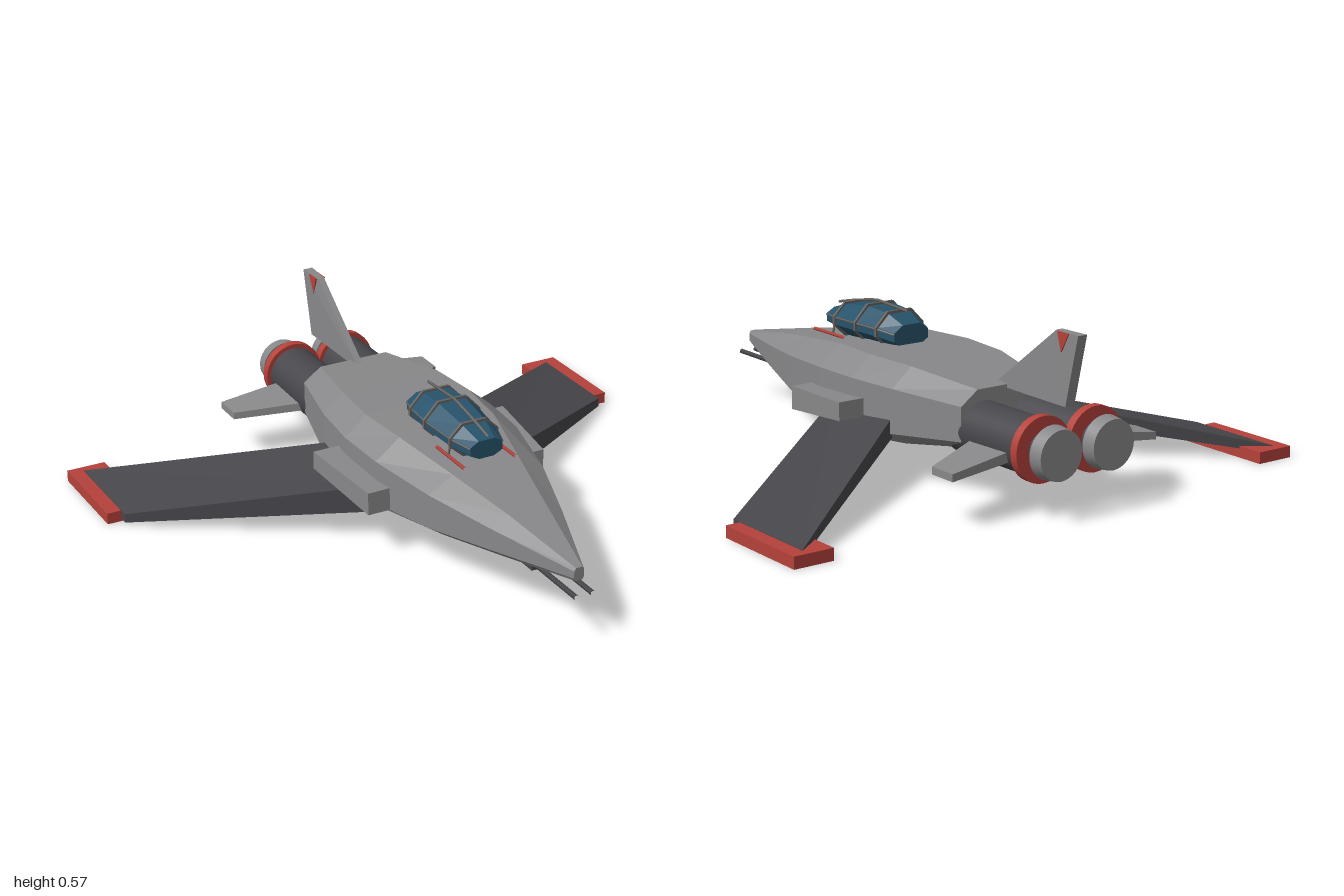
import * as THREE from 'three';

const paint = (name, color) => {
  const m = new THREE.MeshStandardMaterial({ color });
  m.name = name;
  return m;
};

// Flat-faced skin over matching rings; rings run counter-clockwise seen from the first end.
// darkSide marks one strip that takes the second material.
function loft(rings, darkSide = -1) {
  const light = [], dark = [];
  const n = rings[0].length;
  const tri = (list, a, b, c) => list.push(...a, ...b, ...c);
  for (let s = 0; s < rings.length - 1; s++) {
    for (let i = 0; i < n; i++) {
      const j = (i + 1) % n, list = i === darkSide ? dark : light;
      tri(list, rings[s][i], rings[s + 1][i], rings[s + 1][j]);
      tri(list, rings[s][i], rings[s + 1][j], rings[s][j]);
    }
  }
  const first = rings[0], last = rings[rings.length - 1];
  for (let i = 1; i < n - 1; i++) {
    tri(light, first[0], first[i], first[i + 1]);
    tri(light, last[0], last[i + 1], last[i]);
  }
  const geo = new THREE.BufferGeometry();
  geo.setAttribute('position', new THREE.Float32BufferAttribute([...light, ...dark], 3));
  geo.computeVertexNormals();
  if (dark.length) {
    geo.addGroup(0, light.length / 3, 0);
    geo.addGroup(light.length / 3, dark.length / 3, 1);
  }
  return geo;
}

// Mirror a loft in x and restore its winding
function mirrorX(geo) {
  const g = geo.clone(), p = g.attributes.position, src = geo.attributes.position;
  for (let t = 0; t < p.count; t += 3) {
    [0, 2, 1].forEach((k, i) => p.setXYZ(t + i, -src.getX(t + k), src.getY(t + k), src.getZ(t + k)));
  }
  g.computeVertexNormals();
  return g;
}

export function createModel() {
  const model = new THREE.Group();
  model.name = 'starfighter';
  const grey = paint('hull grey', 0x88888a);
  const dark = paint('dark grey', 0x47464b);
  const red = paint('trim red', 0xb5413a);
  const blue = paint('canopy blue', 0x27536b);
  const frame = paint('frame grey', 0x66625f);

  const add = (name, geo, mat, x = 0, y = 0, z = 0) => {
    const mesh = new THREE.Mesh(geo, mat);
    mesh.name = name;
    mesh.position.set(x, y, z);
    model.add(mesh);
  };
  const pair = (name, geo, mat) => {
    add(name + 'Left', geo, mat);
    add(name + 'Right', mirrorX(geo), mat);
  };
  const rod = (name, points, r, mat) => {
    const path = new THREE.CurvePath();
    const v = points.map(p => new THREE.Vector3(...p));
    for (let i = 1; i < v.length; i++) path.add(new THREE.LineCurve3(v[i - 1], v[i]));
    add(name, new THREE.TubeGeometry(path, 12, r, 6, false), mat);
  };

  // Hull: z, half widths (floor, side, roof), heights (floor, lower side, shoulder, roof)
  const hull = [
    [0.93, 0.012, 0.018, 0.012, 0.20, 0.21, 0.235, 0.245],
    [0.62, 0.09, 0.13, 0.07, 0.16, 0.19, 0.265, 0.302],
    [0.36, 0.16, 0.215, 0.125, 0.132, 0.17, 0.29, 0.342],
    [0.10, 0.21, 0.27, 0.18, 0.108, 0.155, 0.31, 0.378],
    [-0.10, 0.22, 0.28, 0.2, 0.108, 0.155, 0.315, 0.382],
    [-0.30, 0.205, 0.26, 0.185, 0.125, 0.165, 0.315, 0.38],
    [-0.58, 0.15, 0.195, 0.13, 0.165, 0.19, 0.305, 0.352],
  ];
  add('fuselage', loft(hull.map(([z, f, s, r, y0, y1, y2, y3]) => [
    [f, y0, z], [s, y1, z], [s, y2, z], [r, y3, z],
    [-r, y3, z], [-s, y2, z], [-s, y1, z], [-f, y0, z],
  ]), 7), [grey, dark]);

  // Swept drooping wings with trim plates at the tips
  pair('wing', loft([
    [[0.22, 0.105, 0.08], [0.22, 0.205, 0.08], [0.22, 0.22, -0.26], [0.22, 0.15, -0.26]].reverse(),
    [[0.95, 0.01, -0.435], [0.95, 0.042, -0.435], [0.95, 0.042, -0.81], [0.95, 0.015, -0.81]].reverse(),
  ].map(ring => ring.reverse())), dark);
  for (const s of [1, -1]) {
    add('wingTip', new THREE.BoxGeometry(0.14, 0.04, 0.37), red, s * 0.93, 0.02, -0.655);
  }

  // Side intakes and small tailplanes
  pair('intake', loft([
    [[0.335, 0.16, 0.17], [0.335, 0.24, 0.17], [0.24, 0.24, 0.17], [0.24, 0.16, 0.17]],
    [[0.37, 0.195, -0.16], [0.37, 0.258, -0.16], [0.25, 0.258, -0.16], [0.25, 0.195, -0.16]],
  ]), grey);
  pair('tailplane', loft([
    [[0.16, 0.18, -0.61], [0.16, 0.21, -0.61], [0.16, 0.215, -0.81], [0.16, 0.18, -0.81]],
    [[0.41, 0.155, -0.715], [0.41, 0.18, -0.715], [0.41, 0.18, -0.82], [0.41, 0.155, -0.82]],
  ]), grey);

  // Twin engines: nacelle, collar, throat and nozzle disc
  const barrel = (name, r1, r2, z0, z1, mat, x) => {
    const g = new THREE.CylinderGeometry(r1, r2, z0 - z1, 32).rotateX(Math.PI / 2);
    add(name, g, mat, x, 0.22, (z0 + z1) / 2);
  };
  for (const x of [0.105, -0.105]) {
    barrel('engineNacelle', 0.093, 0.093, -0.5, -0.865, dark, x);
    barrel('engineCollar', 0.108, 0.108, -0.85, -0.88, red, x);
    barrel('engineThroat', 0.06, 0.06, -0.87, -0.893, dark, x);
    barrel('engineNozzle', 0.088, 0.082, -0.918, -0.965, grey, x);
  }

  // Tail fin with red flash
  const finRing = (y, zBack, zFront, w) =>
    [[w, y, zBack], [w * 0.6, y, zFront], [-w * 0.6, y, zFront], [-w, y, zBack]];
  add('tailFin', loft([finRing(0.34, -0.875, -0.51, 0.018), finRing(0.575, -0.93, -0.82, 0.018)]), grey);
  const flash = new THREE.Shape([[-0.83, 0.573], [-0.85, 0.51], [-0.885, 0.573]].map(p => new THREE.Vector2(...p)));
  for (const x of [0.0185, -0.0135]) {
    const g = new THREE.ExtrudeGeometry(flash, { depth: 0.005, bevelEnabled: false }).rotateY(-Math.PI / 2);
    add('finFlash', g, red, x);
  }

  // Faceted canopy: z, half width, floor, roof
  const glass = [
    [0.36, 0.06, 0.375, 0.438], [0.275, 0.085, 0.36, 0.465],
    [0.13, 0.1, 0.355, 0.485], [0.02, 0.092, 0.36, 0.478], [-0.05, 0.07, 0.37, 0.448],
  ];
  const glassRing = (z, w, lo, hi, grow = 0) => {
    const a = w + grow, t = hi + grow, b = lo - grow, m = (lo + hi) / 2;
    return [
      [a * 0.45, b, z], [a, m - 0.015, z], [a, m + 0.015, z], [a * 0.5, t, z],
      [-a * 0.5, t, z], [-a, m + 0.015, z], [-a, m - 0.015, z], [-a * 0.45, b, z],
    ];
  };
  add('canopy', loft(glass.map(g => glassRing(...g))), blue);
  for (const [z, ...rest] of [glass[1], glass[2], glass[3]]) {
    add('canopyBand', loft([z + 0.005, z - 0.005].map(q => glassRing(q, ...rest, 0.007))), frame);
  }
  rod('canopySpine', [[0, 0.452, 0.37], [0, 0.474, 0.275], [0, 0.497, 0.15], [0, 0.488, -0.03]], 0.005, frame);
  for (const s of [1, -1]) {
    rod('canopyRail', glass.map(([z, w, lo, hi]) => [s * w, (lo + hi) / 2 + 0.01, z]), 0.004, frame);
    rod('canopySkid', [[s * 0.095, 0.366, 0.385], [s * 0.095, 0.366, 0.2]], 0.006, red);
    rod('canopyStrut', [[s * 0.095, 0.366, 0.275], [s * 0.085, 0.41, 0.275]], 0.004, frame);
  }

  // Twin guns under the nose
  for (const s of [1, -1]) {
    rod('gunBarrel', [[s * 0.03, 0.163, 0.965], [s * 0.03, 0.163, 0.6]], 0.009, dark);
    add('gunMount', new THREE.BoxGeometry(0.03, 0.03, 0.15), dark, s * 0.03, 0.16, 0.65);
  }
  return model;
}
